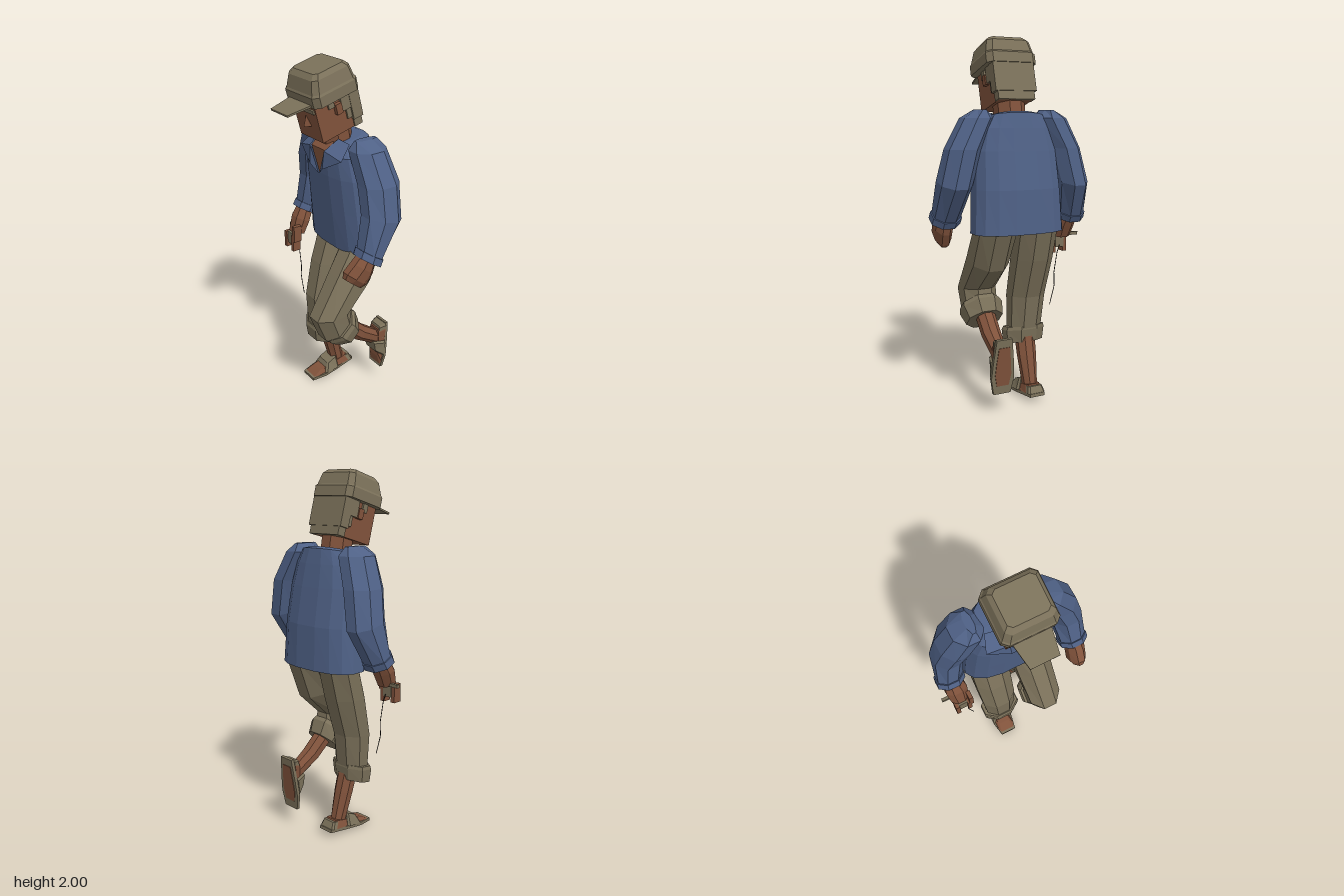
import * as THREE from 'three';

const mat = (name, color) => {
  const m = new THREE.MeshStandardMaterial({ color, flatShading: true, side: THREE.DoubleSide });
  m.name = name;
  return m;
};

// Unit outlines, running from +x towards +z
const round = (n, power = 1) => Array.from({ length: n }, (_, i) => {
  const a = ((i + 0.5) / n) * Math.PI * 2, k = 1 / Math.cos(Math.PI / n);
  const f = (v) => Math.sign(v) * Math.min(1, Math.abs(v * k)) ** power;
  return [f(Math.cos(a)), f(Math.sin(a))];
});
const OCT = round(8);
const BLOCK = [[1, -0.8], [1, 0.8], [0.8, 1], [-0.8, 1], [-1, 0.8], [-1, -0.8], [-0.8, -1], [0.8, -1]];

// Skin over rings [x, y, z, halfWidth, halfDepth, pitch], listed from top to bottom
function loft(rings, outline = OCT) {
  const pos = [], idx = [], n = outline.length;
  for (const [x, y, z, rx, rd, p = 0] of rings)
    for (const [u, v] of outline) pos.push(x + u * rx, y - Math.sin(p) * v * rd, z + Math.cos(p) * v * rd);
  for (let i = 0; i < rings.length - 1; i++)
    for (let j = 0; j < n; j++) {
      const a = i * n + j, b = i * n + (j + 1) % n;
      idx.push(a, b, a + n, b, b + n, a + n);
    }
  const last = (rings.length - 1) * n;
  for (let j = 1; j < n - 1; j++) idx.push(0, j + 1, j, last, last + j, last + j + 1);
  return surface(pos, idx);
}

function surface(pos, idx) {
  const g = new THREE.BufferGeometry();
  g.setAttribute('position', new THREE.Float32BufferAttribute(pos, 3));
  g.setIndex(idx);
  const flat = g.toNonIndexed();
  flat.computeVertexNormals();
  return flat;
}

// Flat patch from a fan of corners
const patch = (pts) => {
  const idx = [];
  for (let i = 1; i < pts.length - 1; i++) idx.push(0, i, i + 1);
  return surface(pts.flat(), idx);
};

// Horizontal plate from [x, z] corners, with its underside at height y
function plate(corners, y, thick) {
  const shape = new THREE.Shape(corners.map(([x, z]) => new THREE.Vector2(x, -z)));
  return new THREE.ExtrudeGeometry(shape, { depth: thick, bevelEnabled: false }).rotateX(-Math.PI / 2).translate(0, y, 0);
}

export function createModel() {
  const model = new THREE.Group();
  const skin = mat('brown skin', 0x80523b), khaki = mat('khaki cloth', 0x7b715a);
  const blue = mat('blue cloth', 0x4f6186), dark = mat('dark string', 0x24221f);
  const add = (parent, name, geo, m) => {
    const mesh = new THREE.Mesh(geo, m);
    mesh.name = name;
    parent.add(mesh);
    return mesh;
  };
  const box = (parent, name, m, w, h, d, x, y, z) =>
    add(parent, name, new THREE.BoxGeometry(w, h, d).translate(x, y, z), m);

  // Shirt with an open neck and spread collar
  add(model, 'shirt', loft([
    [0, 1.59, -0.075, 0.11, 0.09, 0.2],
    [0, 1.577, -0.08, 0.16, 0.115, 0.2],
    [0, 1.52, -0.075, 0.205, 0.135],
    [0, 1.4, -0.09, 0.235, 0.142],
    [0, 1.2, -0.118, 0.247, 0.148],
    [0, 0.965, -0.137, 0.26, 0.139],
  ], round(16, 0.8)), blue);
  add(model, 'chest', patch([[0, 1.4, 0.06], [0.062, 1.545, 0.069], [-0.062, 1.545, 0.069]]), skin);
  add(model, 'throat', patch([[-0.062, 1.545, 0.069], [0.062, 1.545, 0.069], [0.07, 1.585, 0.018], [-0.07, 1.585, 0.018]]), skin);
  for (const s of [1, -1])
    add(model, s > 0 ? 'leftCollar' : 'rightCollar', patch([
      [0.062, 1.545, 0.078], [0.003, 1.4, 0.066], [0.055, 1.445, 0.085], [0.18, 1.515, 0.055],
      [0.15, 1.585, -0.02], [0.08, 1.6, 0.0],
    ].map(([x, y, z]) => [s * x, y, z])), blue);
  add(model, 'neck', loft([[0, 1.67, -0.025, 0.08, 0.085], [0, 1.53, -0.05, 0.08, 0.085]]), skin);

  // Sleeves with rolled cuffs
  const sleeves = {
    left: [
      [0.195, 1.615, -0.085, 0.022, 0.065], [0.212, 1.57, -0.085, 0.085, 0.095], [0.297, 1.41, -0.095, 0.09, 0.107],
      [0.342, 1.235, -0.085, 0.086, 0.11, -0.25], [0.357, 1.06, 0.0, 0.074, 0.07, -0.55],
    ],
    right: [
      [-0.195, 1.615, -0.095, 0.022, 0.065], [-0.212, 1.57, -0.1, 0.085, 0.1], [-0.282, 1.41, -0.125, 0.085, 0.11],
      [-0.325, 1.235, -0.152, 0.082, 0.107, -0.25], [-0.352, 1.06, -0.1, 0.074, 0.07, -0.45],
    ],
  };
  for (const [side, rings] of Object.entries(sleeves)) {
    add(model, side + 'Sleeve', loft(rings), blue);
    const [x, y, z, , , p] = rings.at(-1);
    add(model, side + 'SleeveCuff', loft([[x, y, z, 0.081, 0.077, p], [x * 1.01, y - 0.035, z + 0.018, 0.081, 0.075, p]]), blue);
  }

  // Closed left hand
  add(model, 'leftHand', loft([
    [0.36, 1.06, 0.01, 0.042, 0.05, -0.6], [0.36, 0.99, 0.05, 0.05, 0.072, -0.65],
    [0.353, 0.935, 0.09, 0.048, 0.08, -0.68], [0.35, 0.91, 0.107, 0.03, 0.065, -0.68],
  ]), skin);

  // Right hand gripping a small reel with a hanging line
  add(model, 'rightHand', loft([
    [-0.352, 1.06, -0.085, 0.045, 0.045, -0.4], [-0.347, 0.98, -0.04, 0.062, 0.05, -0.4], [-0.345, 0.9, -0.01, 0.052, 0.042, -0.2],
  ]), skin);
  [[-0.38, 0.85], [-0.308, 0.845], [-0.295, 0.91]].forEach(([x, y], i) =>
    box(model, 'rightFinger' + i, skin, 0.024, 0.1, 0.05, x, y, 0.025));
  box(model, 'reelHandle', khaki, 0.11, 0.018, 0.018, -0.388, 0.908, -0.03);
  box(model, 'reel', khaki, 0.055, 0.075, 0.045, -0.345, 0.865, 0.018);
  const line = new THREE.CurvePath();
  const knots = [[-0.34, 0.84], [-0.325, 0.8], [-0.305, 0.68], [-0.308, 0.6], [-0.278, 0.49]]
    .map(([x, y]) => new THREE.Vector3(x, y, -0.01));
  for (let i = 1; i < knots.length; i++) line.add(new THREE.LineCurve3(knots[i - 1], knots[i]));
  add(model, 'line', new THREE.TubeGeometry(line, 24, 0.0025, 4), dark);

  // Trousers: straight right leg, bent left leg, both with turned-up hems
  add(model, 'rightTrouserLeg', loft([
    [-0.114, 1.0, -0.147, 0.112, 0.1], [-0.113, 0.8, -0.09, 0.11, 0.105],
    [-0.107, 0.58, -0.03, 0.103, 0.092], [-0.1, 0.37, -0.02, 0.092, 0.075],
  ]), khaki);
  add(model, 'rightTrouserHem', loft([
    [-0.1, 0.395, -0.018, 0.112, 0.08, 0.15], [-0.098, 0.375, -0.016, 0.118, 0.084, 0.15], [-0.098, 0.3, -0.017, 0.11, 0.075, 0.2],
  ]), khaki);
  add(model, 'leftTrouserLeg', loft([
    [0.128, 1.0, -0.145, 0.11, 0.105, -0.2], [0.135, 0.8, -0.045, 0.106, 0.122, -0.35],
    [0.142, 0.62, 0.095, 0.097, 0.115, 0.1], [0.142, 0.52, 0.06, 0.093, 0.108, 0.6], [0.14, 0.48, 0.01, 0.088, 0.09, 0.78],
  ]), khaki);
  add(model, 'leftTrouserHem', loft([
    [0.142, 0.53, 0.055, 0.108, 0.108, 0.75], [0.142, 0.51, 0.035, 0.116, 0.113, 0.78], [0.14, 0.455, -0.012, 0.1, 0.09, 0.78],
  ]), khaki);

  // Shins
  add(model, 'rightShin', loft([[-0.095, 0.4, -0.03, 0.055, 0.05], [-0.092, 0.24, -0.075, 0.052, 0.047], [-0.09, 0.06, -0.122, 0.038, 0.042]]), skin);
  add(model, 'leftShin', loft([[0.14, 0.5, 0.0, 0.052, 0.05, 0.78], [0.145, 0.4, -0.11, 0.05, 0.047, 0.78], [0.15, 0.31, -0.245, 0.038, 0.042, 0.78]]), skin);

  // Sandalled feet, the left one with a smaller worn patch underneath
  const sole = [[-0.045, -0.11], [-0.06, 0.02], [-0.067, 0.11], [-0.05, 0.2], [0.05, 0.2], [0.067, 0.11], [0.06, 0.02], [0.045, -0.11]];
  const makeFoot = (name, x, y, z, pitch, wear) => {
    const foot = new THREE.Group();
    foot.name = name;
    add(foot, 'sole', plate(sole, 0, 0.018), khaki);
    add(foot, 'soleFace', plate(sole.map(([u, v]) => [u * wear, 0.04 + (v - 0.04) * wear]), -0.003, 0.003), skin);
    add(foot, 'footFlesh', loft([
      [0, 0.05, 0.03, 0.042, 0.1, 0.12], [0, 0.018, 0.045, 0.055, 0.14],
    ], BLOCK), skin);
    add(foot, 'strap', loft([[0, 0.078, 0.045, 0.046, 0.035, 0.3], [0, 0.018, 0.06, 0.069, 0.05]], BLOCK), khaki);
    add(foot, 'heelStrap', loft([[0, 0.055, -0.05, 0.042, 0.04], [0, 0.018, -0.05, 0.053, 0.055]], BLOCK), khaki);
    foot.position.set(x, y, z);
    foot.rotation.x = pitch;
    model.add(foot);
  };
  makeFoot('rightFoot', -0.09, 0.023, -0.108, 0.1, 0.9);
  makeFoot('leftFoot', 0.15, 0.31, -0.283, 1.46, 0.7);

  // Head, tipped forward
  const head = new THREE.Group();
  head.name = 'head';
  head.position.set(0, 1.743, 0.016);
  head.rotation.x = 0.27;
  model.add(head);
  box(head, 'face', skin, 0.2, 0.22, 0.24, 0, 0, 0.005);
  add(head, 'nose', new THREE.ConeGeometry(0.03, 0.055, 4).translate(0, -0.004, 0.126), skin);
  box(head, 'brow', khaki, 0.18, 0.022, 0.012, 0, 0.06, 0.128);
  box(head, 'backHair', khaki, 0.24, 0.17, 0.06, 0, 0.02, -0.102);
  box(head, 'napeHair', khaki, 0.215, 0.06, 0.05, 0, -0.08, -0.102);
  box(head, 'sideHair', khaki, 0.235, 0.1, 0.06, 0, 0.055, -0.05);
  box(head, 'lowerSideHair', khaki, 0.22, 0.06, 0.035, 0, -0.02, -0.062);
  for (const s of [1, -1]) {
    box(head, 'ear', skin, 0.03, 0.055, 0.036, s * 0.108, 0.03, 0.0);
    box(head, 'sideburn', khaki, 0.018, 0.05, 0.035, s * 0.102, 0.07, 0.035);
  }

  // Peaked cap
  add(head, 'cap', loft([
    [0, 0.24, -0.01, 0.105, 0.09], [0, 0.218, -0.007, 0.125, 0.113], [0, 0.155, 0, 0.14, 0.13],
    [0, 0.145, 0, 0.146, 0.138], [0, 0.09, 0, 0.146, 0.138],
  ], BLOCK), khaki);
  add(head, 'capPeak', plate([[-0.1, 0.12], [-0.075, 0.267], [0.075, 0.267], [0.1, 0.12]], 0.096, 0.01), khaki);
  return model;
}
